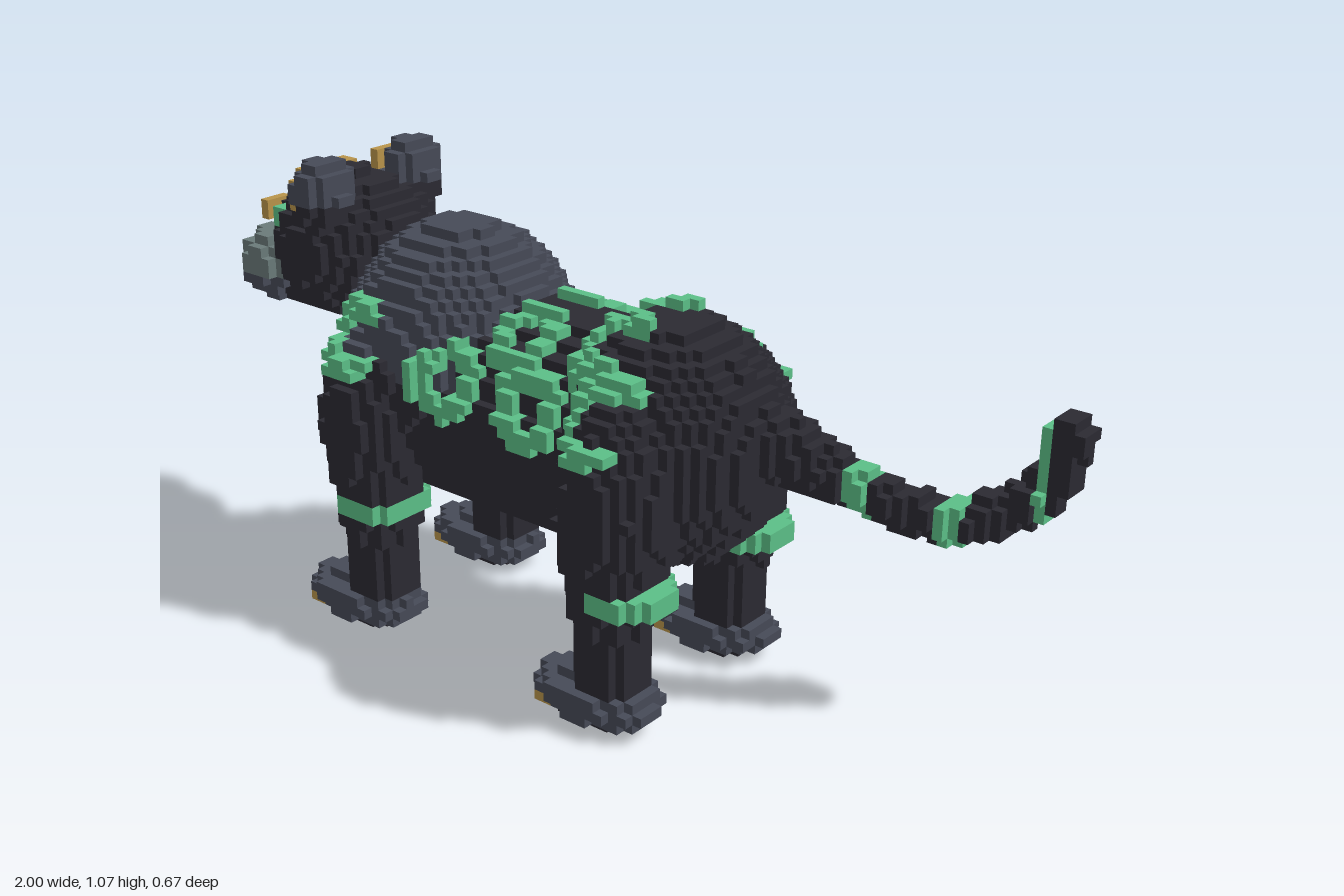
import * as THREE from 'three';

const V = 2 / 86;            // cube size
const NX = 86, NY = 47, K0 = -15, K1 = 15;
const Z0 = V / 2;            // symmetry plane of the body

const COLORS = { darkFur: 0x2b2a32, slateFur: 0x464a57, greenMark: 0x5cbf87, goldTrim: 0xb8944a, paleMuzzle: 0x6a7a79 };

export function createModel() {
  const materials = {};
  for (const [name, color] of Object.entries(COLORS)) {
    materials[name] = new THREE.MeshStandardMaterial({ color });
    materials[name].name = name;
  }

  const cells = new Map();
  const key = (i, j, k) => (i * 64 + j) * 64 + (k + 32);
  const has = (i, j, k) => cells.has(key(i, j, k));
  const put = (i, j, k, part, mat) => {
    if (i >= 0 && i < NX && j >= 0 && j < NY && k >= K0 && k < K1) cells.set(key(i, j, k), { i, j, k, part, mat });
  };
  const cx = i => -1 + (i + 0.5) * V, cy = j => (j + 0.5) * V, cz = k => (k + 0.5) * V;

  // Fill every cube whose centre passes a test; mat may be a name or a rule
  function fill(part, mat, test) {
    for (let i = 0; i < NX; i++) for (let j = 0; j < NY; j++) for (let k = K0; k < K1; k++) {
      const x = cx(i), y = cy(j), z = cz(k);
      if (test(x, y, z)) put(i, j, k, part, typeof mat === 'function' ? mat(x, y, z) : mat);
    }
  }
  const ellipsoid = (part, mat, [a, b, c], [rx, ry, rz]) =>
    fill(part, mat, (x, y, z) => ((x - a) / rx) ** 2 + ((y - b) / ry) ** 2 + ((z - c) / rz) ** 2 <= 1);
  const box = (part, mat, [x0, x1], [y0, y1], [z0, z1]) =>
    fill(part, mat, (x, y, z) => x > x0 && x < x1 && y > y0 && y < y1 && z > z0 && z < z1);
  const mirror = fn => [1, -1].forEach(fn);
  const span = (s, a, b) => (s > 0 ? [a, b] : [-b, -a]);

  // Body
  const mantle = (x, y) => (y > 0.645 + 0.05 * Math.exp(-(((x + 0.41) / 0.04) ** 2)) ? 'slateFur' : 'darkFur');
  fill('torso', 'darkFur', (x, y, z) => x > -0.42 && x < 0.2 && ((y - 0.57) / 0.243) ** 2 + (z / 0.238) ** 2 <= 1);
  ellipsoid('hindquarters', 'darkFur', [0.2, 0.597, 0], [0.25, 0.27, 0.25]);
  ellipsoid('neck', 'darkFur', [-0.6, 0.76, 0], [0.12, 0.13, 0.13]);
  ellipsoid('chest', mantle, [-0.41, 0.65, 0], [0.265, 0.305, 0.27]);

  // Legs, paws, claws and bands
  for (const [name, lx, fx] of [['front', -0.487, -0.547], ['hind', 0.21, 0.172]]) mirror(s => {
    const z = 0.21 * s, front = name === 'front';
    ellipsoid(name + 'Thigh', front ? mantle : 'darkFur', [front ? lx : 0.225, 0.525, 0.2 * s], [0.125, 0.23, 0.13]);
    fill(name + 'Leg', 'darkFur', (x, y, w) => {
      const r = 0.072 + Math.max(0, y - 0.18) * 0.15;
      return y > 0.05 && y < 0.5 && (x - lx) ** 2 + (w - z) ** 2 <= r * r;
    });
    ellipsoid(name + 'Paw', 'slateFur', [fx, 0.062, z], [0.152, 0.052, 0.1]);
    fill(name + 'Sole', 'darkFur', (x, y, w) => y < V && ((x - fx) / 0.09) ** 2 + ((w - z) / 0.052) ** 2 <= 1);
    const tip = fx - 0.15;
    box(name + 'Claw', 'goldTrim', [tip, tip + 0.09], [V, 2.9 * V], [z - 0.025, z + 0.025]);
    box(name + 'Claw', 'goldTrim', [tip + 0.02, tip + 0.06], [V, 2 * V], [z - 0.06, z + 0.06]);
    const bx = front ? -0.48 : 0.235, br = front ? 0.085 : 0.108;
    fill(name + 'LegBand', 'greenMark', (x, y, w) => y > 13 * V && y < 15 * V && (front || x > 0.205)
      && Math.abs((x - bx) / br) ** 3 + Math.abs((w - z) / 0.095) ** 3 <= 1);
  });

  // Head
  ellipsoid('head', 'darkFur', [-0.75, 0.845, 0], [0.185, 0.17, 0.19]);
  ellipsoid('jaw', 'darkFur', [-0.86, 0.755, 0], [0.135, 0.08, 0.15]);
  ellipsoid('nose', (x, y) => (y < 0.78 ? 'slateFur' : 'darkFur'), [-0.91, 0.79, 0], [0.09, 0.085, 0.12]);
  mirror(s => {
    ellipsoid('muzzle', (x, y) => (y > 0.77 ? 'paleMuzzle' : 'slateFur'), [-0.912, 0.785, 0.1 * s], [0.085, 0.085, 0.09]);
    ellipsoid('ear', (x, y) => (y > 0.975 ? 'slateFur' : 'darkFur'), [-0.7, 0.99, 0.14 * s], [0.062, 0.085, 0.072]);
    fill('innerEar', 'goldTrim', (x, y, z) => x > -0.77 && x < -0.742
      && ((y - 0.99) / 0.062) ** 2 + ((z - 0.12 * s) / 0.06) ** 2 <= 1);
    box('eye', 'greenMark', [-0.89, -0.835], [0.89, 0.935], span(s, 0.09, 0.15));
    box('brow', 'goldTrim', [-0.957, -0.92], [0.88, 0.93], span(s, 0.045, 0.115));
  });
  // Forehead crest lies one cube above the skull
  for (let i = 2; i < 9; i++) for (let k = -2; k < 2; k++) {
    let j = NY - 2;
    while (j > 0 && !has(i, j, k)) j--;
    if (cy(j) > 0.83) put(i, j + 1, k, 'foreheadCrest', 'goldTrim');
  }

  // Tail with green rings
  const path = new THREE.CatmullRomCurve3([[0.36, 0.65, 0], [0.46, 0.615, -0.05], [0.57, 0.57, -0.09], [0.68, 0.515, -0.15],
    [0.77, 0.495, -0.21], [0.865, 0.53, -0.28], [0.93, 0.6, -0.3], [0.955, 0.7, -0.3]].map(p => new THREE.Vector3(...p)));
  const tailMat = x => ((x > 0.59 && x < 0.62) || (x > 0.735 && x < 0.79) || (x > 0.9 && x < 0.925) ? 'greenMark' : 'darkFur');
  for (let n = 0; n <= 40; n++) {
    const t = n / 40, p = path.getPoint(t), r = 0.043 + 0.045 * Math.max(0, 1 - t * 3.2);
    ellipsoid('tail', tailMat, [p.x, p.y, p.z - Z0], [r, r + 0.004, r]);
  }

  // Raised ring markings; open ones are broken on the rear side
  const inRing = (u, v, open) => {
    const r = Math.hypot(u, v);
    return r > 0.038 && r < 0.083 && !(open && u > 0.01 && Math.abs(v) < 0.036);
  };
  const raised = [];
  for (const [x, y, open] of [[-0.24, 0.675], [-0.005, 0.67], [0.2, 0.71, true], [-0.487, 0.735, true]])
    mirror(s => {
      for (let i = 0; i < NX; i++) for (let j = 0; j < NY; j++) {
        if (!inRing(cx(i) - x, cy(j) - y, open)) continue;
        let k = s > 0 ? K1 - 1 : K0;
        while (k >= K0 && k < K1 && !has(i, j, k)) k -= s;
        raised.push([i, j, k], [i, j, k + s]);
      }
    });
  for (const [x, z, open] of [[-0.095, 0.118], [0.13, 0.118, true]])
    mirror(s => {
      for (let i = 0; i < NX; i++) for (let k = K0; k < K1; k++) {
        if (!inRing(cx(i) - x, cz(k) - z * s, open)) continue;
        let j = NY - 1;
        while (j > 0 && !has(i, j, k)) j--;
        raised.push([i, j, k], [i, j + 1, k]);
      }
    });
  raised.forEach(c => put(...c, 'rosette', 'greenMark'));

  // Turn the exposed cube faces into one mesh for each part and colour
  const buckets = new Map();
  const axes = [[1, 0, 0], [0, 1, 0], [0, 0, 1]];
  for (const c of cells.values()) {
    const id = c.part + '|' + c.mat;
    if (!buckets.has(id)) buckets.set(id, { pos: [], nor: [] });
    const { pos, nor } = buckets.get(id);
    const o = [cx(c.i), cy(c.j), cz(c.k) + Z0];
    for (let a = 0; a < 3; a++) for (const s of [1, -1]) {
      const n = axes[a].map(q => q * s);
      if (has(c.i + n[0], c.j + n[1], c.k + n[2])) continue;
      const u = axes[(a + 1) % 3], v = axes[(a + 2) % 3];
      const corner = (p, q) => o.map((w, d) => w + (n[d] + u[d] * p * s + v[d] * q) * V / 2);
      const [A, B, C, D] = [corner(-1, -1), corner(1, -1), corner(1, 1), corner(-1, 1)];
      for (const p of [A, B, C, A, C, D]) { pos.push(...p); nor.push(...n); }
    }
  }
  const group = new THREE.Group();
  group.name = 'bigCat';
  for (const [id, { pos, nor }] of buckets) {
    if (!pos.length) continue;
    const [part, mat] = id.split('|');
    const geo = new THREE.BufferGeometry();
    geo.setAttribute('position', new THREE.Float32BufferAttribute(pos, 3));
    geo.setAttribute('normal', new THREE.Float32BufferAttribute(nor, 3));
    const mesh = new THREE.Mesh(geo, materials[mat]);
    mesh.name = part;
    group.add(mesh);
  }
  return group;
}
